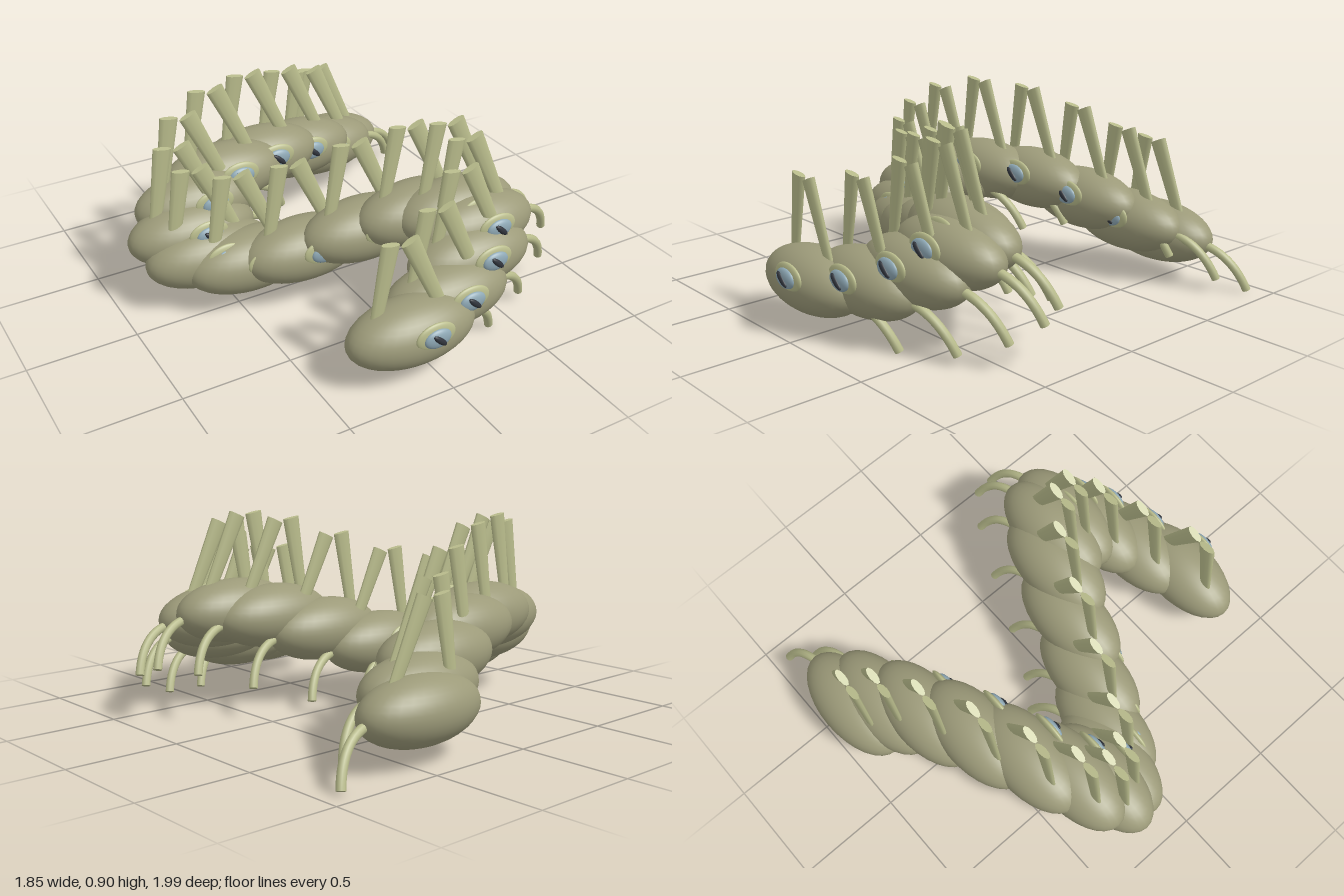
import * as THREE from 'three';

const mat = (name, color) => {
  const m = new THREE.MeshStandardMaterial({ color });
  m.name = name;
  return m;
};

export function createModel() {
  const olive = mat('olive body', 0x9c9a79);
  const pale = mat('pale green', 0xb9bc8c);
  const blue = mat('eye blue', 0x8fa9b6);
  const dark = mat('pupil dark', 0x30343c);

  const ball = new THREE.SphereGeometry(1, 32, 20);

  // Curved leg reaching out to +x, down and slightly back
  const legPath = new THREE.QuadraticBezierCurve3(
    new THREE.Vector3(0.26, -0.01, 0),
    new THREE.Vector3(0.42, -0.025, -0.02),
    new THREE.Vector3(0.475, -0.2, -0.08)
  );
  const legGeo = new THREE.TubeGeometry(legPath, 12, 0.02, 10);
  const footGeo = new THREE.CircleGeometry(0.02, 10);

  const add = (group, name, geo, material, pos = [0, 0, 0], scale = [1, 1, 1]) => {
    const mesh = new THREE.Mesh(geo, material);
    mesh.name = name;
    mesh.position.set(...pos);
    mesh.scale.set(...scale);
    group.add(mesh);
    return mesh;
  };

  // Flattened beam, wider at the top, between two points
  const addBeam = (group, name, from, to) => {
    const a = new THREE.Vector3(...from), b = new THREE.Vector3(...to);
    const geo = new THREE.CylinderGeometry(0.044, 0.03, a.distanceTo(b), 10);
    geo.scale(1, 1, 0.4);
    const mesh = add(group, name, geo, pale, a.clone().add(b).multiplyScalar(0.5).toArray());
    mesh.quaternion.setFromUnitVectors(new THREE.Vector3(0, 1, 0), b.sub(a).normalize());
  };

  const model = new THREE.Group();
  model.name = 'segmentedCreature';

  // Chain of segments weaving sideways and arching up and down
  for (let i = 0; i < 17; i++) {
    const segment = new THREE.Group();
    segment.name = `segment${i + 1}`;
    segment.position.set(
      -0.09 + 0.53 * Math.sin(0.48 * i),
      0.335 - 0.115 * Math.cos(0.77 * i),
      0.803 - 0.1025 * i
    );

    add(segment, 'body', ball, olive, [0, 0, 0], [0.307, 0.146, 0.16]);

    // Upright pair of fins leaning together
    addBeam(segment, 'rightFin', [-0.165, 0.09, -0.012], [-0.108, 0.445, -0.008]);
    addBeam(segment, 'leftFin', [0.135, 0.09, 0.012], [-0.022, 0.44, 0]);

    // Leg with a closed tip
    add(segment, 'leg', legGeo, pale);
    const foot = add(segment, 'legTip', footGeo, pale, legPath.getPoint(1).toArray());
    foot.quaternion.setFromUnitVectors(new THREE.Vector3(0, 0, 1), legPath.getTangent(1));

    // Eye on the front face
    add(segment, 'eyelid', ball, pale, [0.022, 0.052, 0.148], [0.095, 0.064, 0.019]);
    add(segment, 'iris', ball, blue, [0.022, 0.05, 0.162], [0.064, 0.045, 0.022]);
    const pupil = add(segment, 'pupil', ball, dark, [0.022, 0.05, 0.18], [0.042, 0.014, 0.012]);
    pupil.rotation.z = -0.75;

    model.add(segment);
  }
  return model;
}
